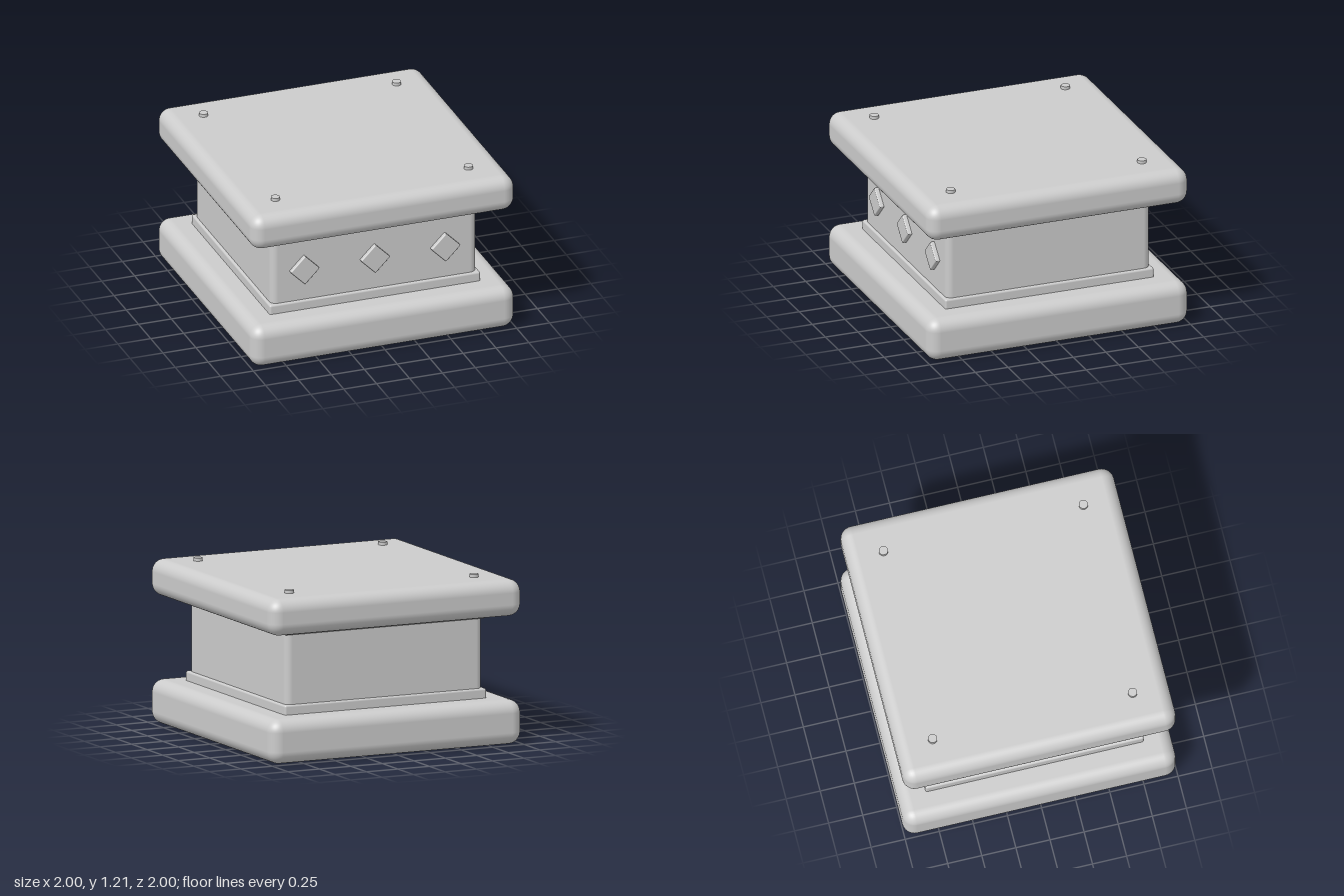
import * as THREE from 'three';
import { RoundedBoxGeometry } from 'three/addons/geometries/RoundedBoxGeometry.js';

export function createModel() {
  const model = new THREE.Group();
  model.name = 'pedestal';
  const stone = new THREE.MeshStandardMaterial({ color: 0xcccccc });
  stone.name = 'light grey';

  const add = (name, geometry, x, y, z) => {
    const mesh = new THREE.Mesh(geometry, stone);
    mesh.name = name;
    mesh.position.set(x, y, z);
    model.add(mesh);
    return mesh;
  };

  // Square rounded slab between two heights
  const slab = (name, width, bottom, top, radius, segments) =>
    add(name, new RoundedBoxGeometry(width, top - bottom, width, segments, radius),
      0, (bottom + top) / 2, 0);

  slab('baseSlab', 2, 0, 0.32, 0.09, 5);
  slab('lowerTrim', 1.6, 0.29, 0.39, 0.015, 3);
  slab('column', 1.56, 0.3, 1.0, 0.05, 4); // ends hidden inside trims and slabs
  slab('upperTrim', 1.6, 0.895, 0.96, 0.015, 3);
  slab('topSlab', 2, 0.925, 1.19, 0.09, 5);

  // Diamond studs across the front
  const diamond = new RoundedBoxGeometry(0.157, 0.157, 0.06, 2, 0.008);
  for (const x of [-0.535, 0, 0.535]) {
    add('frontDiamond', diamond, x, 0.63, 0.782).rotation.z = Math.PI / 4;
  }

  // Small pegs near the top corners
  const peg = new THREE.CylinderGeometry(0.033, 0.033, 0.04, 16);
  for (const x of [-0.733, 0.733]) {
    for (const z of [-0.733, 0.733]) add('cornerPeg', peg, x, 1.193, z);
  }

  return model;
}
